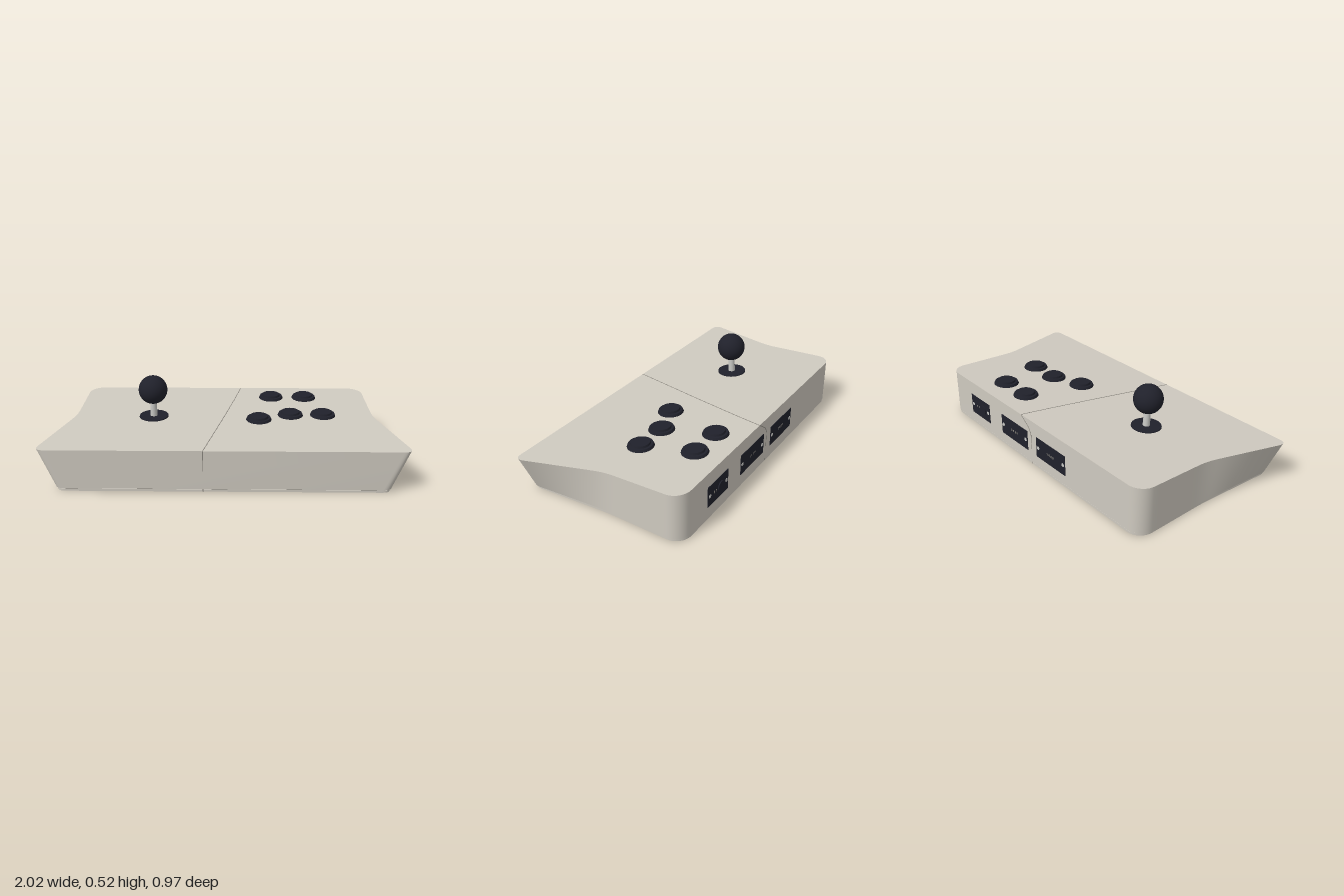
import * as THREE from 'three';
import { toCreasedNormals } from 'three/addons/utils/BufferGeometryUtils.js';

const FRONT = 0.483, BACK = -0.478, SLOPE = 0.05;
const topY = (z) => 0.263 - SLOPE * z;

const mat = (name, color) => {
  const m = new THREE.MeshStandardMaterial({ color });
  m.name = name;
  return m;
};

// half width of the case: straight at the back, flaring to the front
function halfWidth(z, frontWidth) {
  const s = z + 0.01, soft = 0.06;
  const ramp = s < -soft ? 0 : s < soft ? (s + soft) ** 2 / (4 * soft) : s;
  return 0.88 + (frontWidth - 0.88) * ramp / 0.44;
}

// right half of the outline, from the front corner round to the back corner
function halfOutline(frontWidth, scale) {
  const r = 0.055, R = 0.09, pts = [], w = (z) => halfWidth(z, frontWidth);
  const corner = new THREE.QuadraticBezierCurve(
    new THREE.Vector2(w(FRONT) - r, FRONT),
    new THREE.Vector2(w(FRONT), FRONT),
    new THREE.Vector2(w(FRONT - r), FRONT - r));
  corner.getPoints(10).forEach((p) => pts.push([p.x, p.y]));
  const z0 = FRONT - r, z1 = BACK + R;
  for (let i = 1; i < 24; i++) {
    const z = z0 + (z1 - z0) * i / 24;
    pts.push([w(z), z]);
  }
  for (let i = 0; i <= 10; i++) {
    const a = i / 10 * Math.PI / 2;
    pts.push([0.88 - R + R * Math.cos(a), z1 - R * Math.sin(a)]);
  }
  return pts.map(([x, z]) => [x * scale, z * scale]);
}

// closed solid between two outlines
function loft(low, high) {
  const verts = [];
  const quad = (a, b, c, d) => [a, b, c, a, c, d].forEach((p) => verts.push(...p));
  const ring = ({ width, scale, y }) => {
    const h = halfOutline(width, scale).map(([x, z]) => [x, y(z), z]);
    return [...h, ...h.map(([x, yy, z]) => [-x, yy, z]).reverse()];
  };
  const L = ring(low), H = ring(high), n = L.length;
  for (let i = 0; i < n; i++) {
    const j = (i + 1) % n;
    quad(L[i], L[j], H[j], H[i]);
  }
  for (let i = 0; i < n / 2 - 1; i++) {
    const m = n - 1 - i;
    quad(H[i], H[i + 1], H[m - 1], H[m]);
    quad(L[m], L[m - 1], L[i + 1], L[i]);
  }
  const geo = new THREE.BufferGeometry();
  geo.setAttribute('position', new THREE.Float32BufferAttribute(verts, 3));
  return toCreasedNormals(geo, 0.5);
}

export function createModel() {
  const model = new THREE.Group();
  const shell = mat('warm grey shell', 0xcfcac0);
  const black = mat('blue black plastic', 0x20212b);
  const seamGrey = mat('seam grey', 0x8a867e);
  const steel = mat('light steel', 0xc8c8c4);

  const add = (parent, name, geo, material, x = 0, y = 0, z = 0) => {
    const mesh = new THREE.Mesh(geo, material);
    mesh.name = name;
    mesh.position.set(x, y, z);
    parent.add(mesh);
    return mesh;
  };
  const disc = (r1, r2, h, seg = 40) => new THREE.CylinderGeometry(r1, r2, h, seg);

  // case and slightly inset base plate
  add(model, 'case', loft(
    { width: 0.918, scale: 1, y: () => 0.016 },
    { width: 1.005, scale: 1, y: topY }), shell);
  add(model, 'basePlate', loft(
    { width: 0.914, scale: 0.996, y: () => 0 },
    { width: 0.914, scale: 0.996, y: () => 0.013 }), shell);
  add(model, 'baseGap', loft(
    { width: 0.914, scale: 0.99, y: () => 0.012 },
    { width: 0.914, scale: 0.99, y: () => 0.017 }), seamGrey);

  // seam that runs around the two halves of the case
  const seam = new THREE.Group();
  seam.name = 'seam';
  model.add(seam);
  const seamPath = [
    [-0.11, topY(FRONT), FRONT], [0, topY(0), 0], [0.065, topY(-0.3), -0.3],
    [0.1, topY(BACK), BACK], [0.03, 0.235, BACK], [0.01, 0.2, BACK], [0.01, 0, BACK + 0.002],
    [0.01, 0, -0.4], [0.06, 0, -0.3], [-0.11, 0, FRONT - 0.002], [-0.11, topY(FRONT), FRONT],
  ].map((p) => new THREE.Vector3(...p));
  for (let i = 0; i < seamPath.length - 1; i++) {
    const a = seamPath[i], b = seamPath[i + 1];
    const line = add(seam, 'seamLine', new THREE.BoxGeometry(0.004, 0.002, a.distanceTo(b)), seamGrey);
    line.position.lerpVectors(a, b, 0.5);
    if (Math.abs(a.z - b.z) < 0.01) line.up.set(0, 0, 1);
    line.lookAt(b);
  }

  // group standing square on the sloped top
  const onTop = (name, x, z) => {
    const g = new THREE.Group();
    g.name = name;
    g.position.set(x, topY(z), z);
    g.rotation.x = Math.atan(SLOPE);
    model.add(g);
    return g;
  };

  // joystick
  const stick = onTop('joystick', -0.42, 0.003);
  add(stick, 'dustDisc', disc(0.085, 0.087, 0.008), black, 0, 0.002, 0);
  add(stick, 'shaft', disc(0.018, 0.021, 0.11, 24), steel, 0, 0.055, 0);
  add(stick, 'ballTop', new THREE.SphereGeometry(0.084, 40, 28), black, 0, 0.168, 0);

  // push buttons
  [[0.29, -0.31], [0.497, -0.31], [0.203, 0.047], [0.393, -0.023], [0.586, -0.023]].forEach(([x, z]) => {
    const b = onTop('button', x, z);
    add(b, 'buttonRim', disc(0.069, 0.076, 0.016), black, 0, 0.006, 0);
    add(b, 'plunger', disc(0.052, 0.056, 0.012), black, 0, 0.019, 0);
  });

  // connector plates on the back
  [[0.54, 0.2], [0.175, 0.26], [-0.17, 0.26]].forEach(([x, w], k) => {
    const g = new THREE.Group();
    g.name = 'connectorPlate';
    g.position.set(x, 0.14, BACK);
    model.add(g);
    add(g, 'plate', new THREE.BoxGeometry(w, 0.125, 0.005), black);
    for (const s of [-1, 1]) {
      const screw = add(g, 'plateScrew', disc(0.011, 0.011, 0.004, 16), steel, s * (w / 2 - 0.018), 0, -0.002);
      screw.rotation.x = Math.PI / 2;
    }
    if (k === 0) {
      const port = add(g, 'roundPort', disc(0.03, 0.03, 0.008, 28), black, -0.027, 0, -0.004);
      port.rotation.x = Math.PI / 2;
    }
    const pins = k === 0 ? 2 : 4;
    for (let i = 0; i < pins; i++) {
      add(g, 'contact', new THREE.BoxGeometry(0.007, 0.014, 0.002), seamGrey,
        (i - (pins - 1) / 2) * 0.018 + (k === 0 ? 0.03 : 0), 0, -0.0025);
    }
  });

  // screws under the base
  [[0.82, -0.4], [0.82, 0.395], [-0.82, -0.4], [-0.82, 0.395],
    [0.15, -0.37], [-0.05, -0.36], [-0.015, 0.33], [-0.15, 0.32]].forEach(([x, z]) => {
    add(model, 'baseScrew', disc(0.016, 0.016, 0.002, 16), seamGrey, x, 0.0005, z);
  });

  return model;
}
